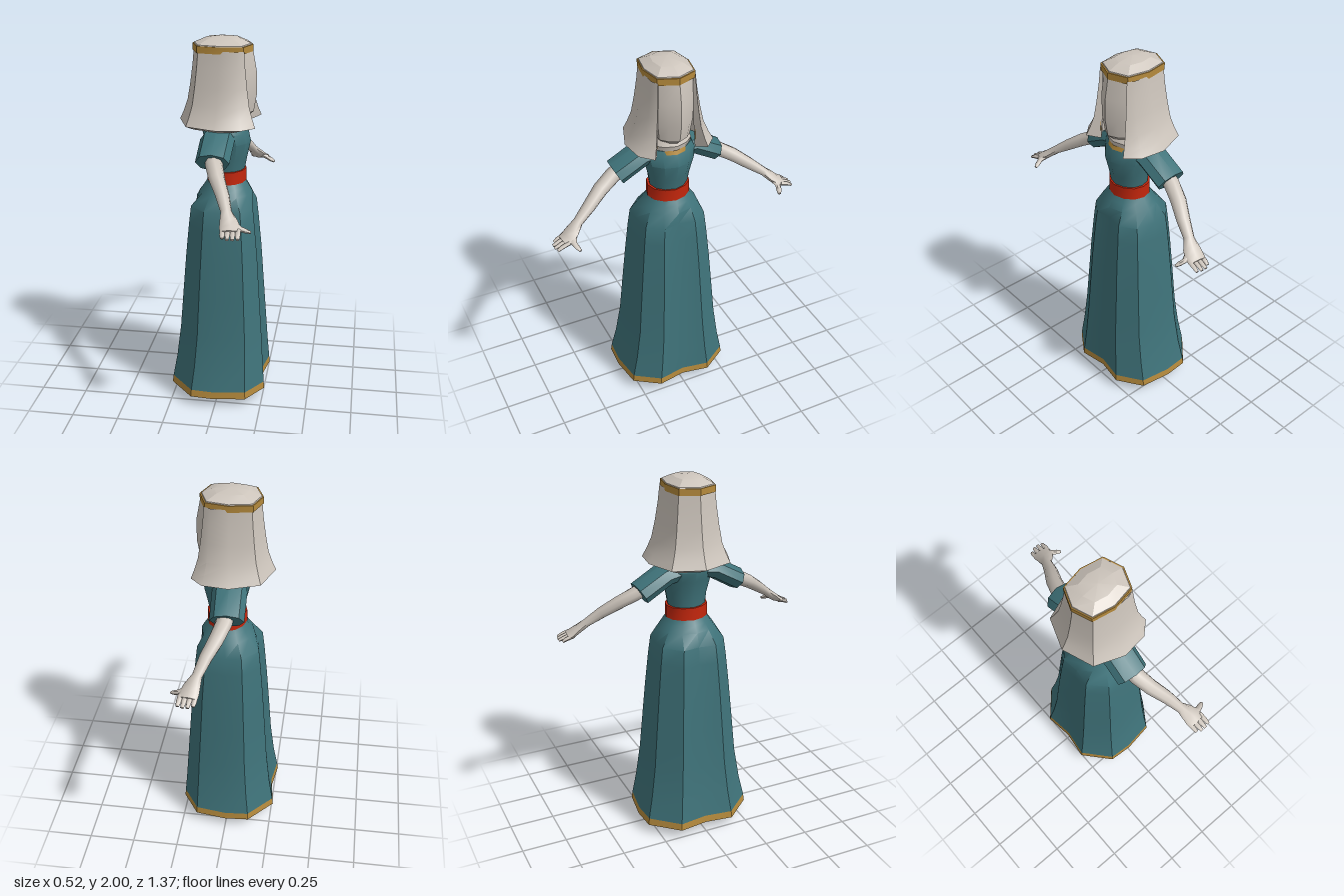
import * as THREE from 'three';
import { toCreasedNormals } from 'three/addons/utils/BufferGeometryUtils.js';

const V = (x, y, z) => new THREE.Vector3(x, y, z);
const material = (name, color) => Object.assign(new THREE.MeshStandardMaterial({ color }), { name });

// Skin between closed rings of equal length, optionally capped at the two ends
function loft(rings, { start = true, end = true, crease = 0.6, tip = 0 } = {}) {
  const n = rings[0].length, pos = [], index = [];
  rings.forEach(r => r.forEach(p => pos.push(p.x, p.y, p.z)));
  for (let i = 0; i < rings.length - 1; i++) {
    for (let j = 0; j < n; j++) {
      const k = (j + 1) % n, a = i * n + j, b = i * n + k;
      index.push(a, a + n, b, b, a + n, b + n);
    }
  }
  const cap = (i, last) => {
    const c = rings[i].reduce((s, p) => s.add(p), V(0, 0, 0)).divideScalar(n);
    if (last) c.y += tip;
    const m = pos.length / 3;
    pos.push(c.x, c.y, c.z);
    for (let j = 0; j < n; j++) {
      const a = i * n + j, b = i * n + (j + 1) % n;
      last ? index.push(m, b, a) : index.push(m, a, b);
    }
  };
  if (start) cap(0, false);
  if (end) cap(rings.length - 1, true);
  const g = new THREE.BufferGeometry();
  g.setAttribute('position', new THREE.Float32BufferAttribute(pos, 3));
  g.setIndex(index);
  return toCreasedNormals(g, crease);
}

// Half outlines from front to back; the other half is mirrored
const mirrorHalf = h => [...h, ...h.slice(1, -1).reverse().map(([x, z]) => [x, -z])];
const ROUND = mirrorHalf([[1, 0], [.85, .5], [.5, .87], [0, 1], [-.5, .87], [-.85, .5], [-1, 0]]);
const SKIRT = mirrorHalf([[.9, 0], [1, .48], [.65, .92], [0, 1], [-.5, .97], [-1, .5], [-.92, 0]]);
const OCTAGON = mirrorHalf([[1, 0], [.75, .82], [0, 1], [-.75, .82], [-1, 0]]);
const FACE = mirrorHalf([[1, 0], [.82, .6], [.55, 1], [-.4, .95], [-1, 0]]);

// Horizontal ring: height, back x, front x, half depth in z
const ring = (shape, [y, back, front, hz]) =>
  shape.map(([u, w]) => V((front + back) / 2 + u * (front - back) / 2, y, w * hz));
const stack = (shape, rows, options) => loft(rows.map(r => ring(shape, r)), options);

// Limb along +z: rows of centre x, y, z, half width, half thickness
function limb(rows, side, sides = 8, options) {
  const c = rows.map(r => V(r[0], r[1], r[2]));
  const rings = rows.map(([, , , w, t], i) => {
    const d = c[Math.min(i + 1, c.length - 1)].clone().sub(c[Math.max(i - 1, 0)]).normalize();
    const u = V(0, 1, 0).cross(d).normalize(), v = d.clone().cross(u);
    return Array.from({ length: sides }, (_, j) => {
      const a = j / sides * Math.PI * 2;
      return c[i].clone().addScaledVector(u, w * Math.cos(a)).addScaledVector(v, -t * Math.sin(a));
    });
  });
  if (side < 0) rings.forEach(r => { r.forEach(p => { p.z *= -1; }); r.reverse(); });
  return loft(rings, options);
}

export function createModel() {
  const teal = material('tealCloth', 0x3f737a);
  const gold = material('goldTrim', 0xb58a3c);
  const red = material('redBelt', 0xc4260c);
  const pale = material('paleSkinAndLinen', 0xcdc5bc);
  const grey = material('greyShoe', 0x6c6b69);
  const model = new THREE.Group();
  model.name = 'robedWoman';
  const add = (name, geometry, mat, parent = model) => {
    const mesh = new THREE.Mesh(geometry, mat);
    mesh.name = name;
    parent.add(mesh);
    return mesh;
  };

  // Skirt with a gold hem and gold underside
  add('hem', stack(SKIRT, [[.053, -.262, .26, .312], [.092, -.257, .257, .307]], { end: false }), gold);
  const skirtRings = [
    [.092, -.257, .257, .307], [.22, -.235, .247, .28], [.4, -.214, .235, .253],
    [.62, -.198, .219, .234], [.82, -.183, .205, .216], [1.0, -.167, .188, .198], [1.1, -.156, .177, .185],
  ].map(r => ring(SKIRT, r));
  skirtRings.push(...[[1.17, -.12, .165, .155], [1.205, -.095, .145, .13], [1.24, -.075, .122, .108]]
    .map(r => ring(ROUND, r)));
  add('skirt', loft(skirtRings, { start: false }), teal);

  // Belt and bodice
  add('belt', stack(ROUND, [[1.232, -.081, .13, .116], [1.3, -.08, .13, .115]]), red);
  add('bodice', stack(ROUND, [
    [1.28, -.068, .118, .1], [1.36, -.074, .132, .112], [1.45, -.095, .152, .135],
    [1.505, -.11, .14, .145], [1.538, -.1, .124, .13],
  ], { tip: .01 }), teal);
  add('neckline', stack(ROUND, [[1.518, -.07, .138, .1], [1.545, -.08, .126, .112]]), gold);

  // Head, throat cloth, crown band and cap
  add('throatCloth', stack(ROUND, [[1.53, -.09, .127, .112], [1.565, -.1, .135, .122], [1.62, -.09, .11, .1]]), pale);
  add('head', stack(FACE, [
    [1.575, -.07, .125, .055], [1.61, -.1, .165, .085], [1.7, -.115, .18, .096],
    [1.82, -.115, .178, .1], [1.94, -.11, .156, .1],
  ]), pale);
  add('headband', stack(OCTAGON, [[1.922, -.155, .16, .124], [1.957, -.155, .16, .124]]), gold);
  add('cap', stack(OCTAGON, [[1.95, -.152, .156, .121], [1.962, -.146, .15, .117], [1.988, -.085, .09, .07]],
    { tip: .012, crease: .3 }), pale);

  // Thick veil, open at the face, blended from its top outline to its hem
  const topOut = [[.125, .1], [.09, .117], [0, .122], [-.11, .1], [-.148, 0]];
  const hemOut = [[.19, .145], [.125, .207], [-.01, .223], [-.165, .165], [-.225, 0]];
  const topIn = topOut.map(([x, z]) => [x * .92, z * .92]);
  const hemIn = [[.122, .106], [.08, .15], [0, .165], [-.13, .12], [-.17, 0]];
  const veilArc = (a, b, t, y) => {
    const half = a.map(([x, z], i) => V(x + (b[i][0] - x) * t, y, z + (b[i][1] - z) * t));
    return [...half, ...half.slice(0, -1).reverse().map(p => V(p.x, p.y, -p.z))];
  };
  const veilRings = [[1.555, 1, .025], [1.6, .74, .01], [1.66, .47, 0], [1.75, .27, 0], [1.85, .1, 0], [1.935, 0, 0]]
    .map(([y, t, drop]) => [...veilArc(topOut, hemOut, t, y), ...veilArc(topIn, hemIn, t, y - drop).reverse()]);
  const seam = veilRings[0].map((p, i, r) => p.clone().add(r[r.length - 1 - i]).multiplyScalar(.5));
  const veil = add('veil', loft([seam, ...veilRings], { start: false, end: false }), pale);
  veil.material.side = THREE.DoubleSide;

  for (const side of [1, -1]) {
    const arm = new THREE.Group();
    arm.name = side > 0 ? 'leftSideArm' : 'rightSideArm';
    model.add(arm);

    // Trim inside the veil opening
    const strip = new THREE.BoxGeometry(.008, .17, .01);
    strip.translate(.122, 1.66, side * .109);
    add('veilTrim', strip, gold);

    // Sleeve and arm
    add('sleeve', limb([[0, 1.495, .07, .085, .05], [-.005, 1.485, .14, .09, .056], [-.01, 1.405, .28, .088, .058]],
      side, 8), teal, arm);
    add('arm', limb([
      [-.01, 1.46, .18, .045, .04], [.003, 1.4, .3, .045, .038], [.03, 1.355, .38, .042, .036],
      [.07, 1.3, .46, .036, .031], [.1, 1.245, .535, .028, .023], [.118, 1.212, .575, .045, .022],
      [.128, 1.19, .605, .051, .02], [.131, 1.178, .635, .047, .014],
    ], side, 8, { crease: 1.1 }), pale, arm);

    // Fingers and thumb
    for (let i = 0; i < 4; i++) {
      const x = .094 + i * .025, reach = [.67, .684, .684, .676][i];
      add('finger', limb([[x, 1.184, .61, .013, .011], [x + .003, 1.172, .65, .013, .01],
        [x + .006, 1.16, reach, .009, .007]], side, 6, { crease: 1.1 }), pale, arm);
    }
    add('thumb', limb([[.135, 1.205, .575, .02, .015], [.175, 1.182, .592, .017, .013],
      [.205, 1.168, .581, .014, .011], [.224, 1.16, .573, .008, .007]], side, 6, { crease: 1.1 }), pale, arm);

    // Shoe
    const shoe = stack(ROUND, [[0, -.098, .155, .036], [.015, -.105, .163, .042], [.045, -.103, .16, .041], [.075, -.09, .13, .034]]);
    shoe.translate(0, 0, side * .08);
    add('shoe', shoe, grey);
  }
  return model;
}
